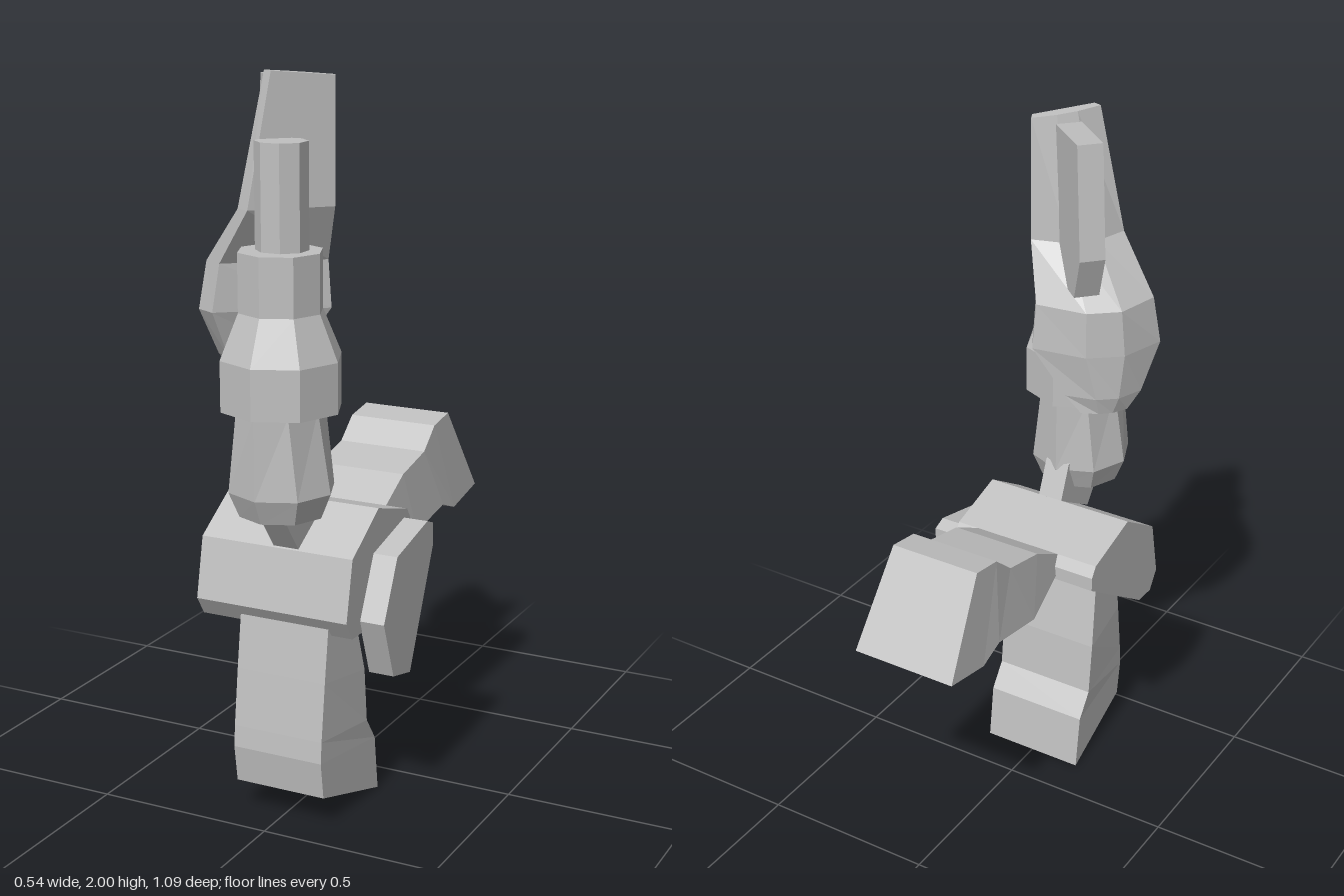
import * as THREE from 'three';

const grey = new THREE.MeshStandardMaterial({ color: 0xc0c0c0 });
grey.name = 'plain grey';

// Flat-faced solid through a list of rings of equal length, capped at both ends
function loft(name, rings) {
  const n = rings[0].length, tris = [];
  const tri = (a, b, c) => tris.push([a, b, c]);
  for (let i = 0; i < rings.length - 1; i++) {
    for (let j = 0; j < n; j++) {
      const k = (j + 1) % n, a = rings[i], b = rings[i + 1];
      tri(a[j], a[k], b[k]);
      tri(a[j], b[k], b[j]);
    }
  }
  const first = rings[0], last = rings[rings.length - 1];
  for (let j = 1; j < n - 1; j++) {
    tri(first[0], first[j + 1], first[j]);
    tri(last[0], last[j], last[j + 1]);
  }
  // A negative volume means the faces point inwards
  const v = (p) => new THREE.Vector3(...p);
  const volume = tris.reduce((s, [a, b, c]) => s + v(a).dot(v(b).cross(v(c))), 0);
  const pos = tris.flatMap(([a, b, c]) => (volume < 0 ? [a, c, b] : [a, b, c])).flat();
  const geo = new THREE.BufferGeometry();
  geo.setAttribute('position', new THREE.Float32BufferAttribute(pos, 3));
  geo.computeVertexNormals();
  const mesh = new THREE.Mesh(geo, grey);
  mesh.name = name;
  return mesh;
}

// Side profile of [z, y] points, extended from x0 to x1
const slab = (name, x0, x1, profile) =>
  loft(name, [x0, x1].map((x) => profile.map(([z, y]) => [x, y, z])));

// Leg with a narrow outer side and a wider inner side
const leg = (name, narrow, wide) =>
  loft(name, narrow.map(([z, y], i) => {
    const [wz, wy] = wide[i], w = i === 0 ? 0.137 : 0.153;
    return [[-0.132, y, z], [0.132, y, z], [w, wy, wz], [-w, wy, wz]];
  }));

// Eight-sided column from [y, radiusX, radiusZ] levels
const column = (name, cz, turn, levels) =>
  loft(name, levels.map(([y, rx, rz]) => Array.from({ length: 8 }, (_, i) => {
    const a = (i / 8) * Math.PI * 2 + turn;
    return [rx * Math.sin(a), y, cz + rz * Math.cos(a)];
  })));

// Frame of the back shield: t runs across it, r points outwards
const place = (t, r, y) => [0.68 * t - 0.73 * r, y, -0.73 * t - 0.68 * r];

export function createModel() {
  const model = new THREE.Group();
  model.name = 'jointedFigure';

  // Legs
  model.add(leg('frontLeg',
    [[0.37, 0.62], [0.40, 0.41], [0.42, 0.25], [0.425, 0.19], [0.41, 0.085]],
    [[0.25, 0.60], [0.205, 0.385], [0.19, 0.23], [0.14, 0.16], [0.12, 0]]));
  model.add(leg('rearLeg',
    [[0.03, 0.80], [-0.08, 0.86], [-0.22, 0.89], [-0.29, 0.95], [-0.385, 0.965]],
    [[0.03, 0.75], [-0.13, 0.68], [-0.31, 0.71], [-0.39, 0.68], [-0.545, 0.71]]));

  // Hip block, its side plate and the neck above it
  model.add(slab('hipBlock', -0.255, 0.196,
    [[0.365, 0.755], [0.21, 0.852], [0.03, 0.80], [0.01, 0.77], [0.01, 0.73],
      [0.30, 0.535], [0.365, 0.535], [0.40, 0.588]]));
  model.add(slab('sidePlate', 0.194, 0.266,
    [[0.32, 0.57], [0.24, 0.735], [0.05, 0.78], [0.012, 0.765], [0.012, 0.70],
      [0.155, 0.38], [0.26, 0.405]]));
  model.add(slab('waistJoint', -0.037, 0.037,
    [[0.44, 0.86], [0.365, 0.76], [0.21, 0.85], [0.25, 0.95], [0.35, 0.98]]));

  // Torso stack
  model.add(column('lowerTorso', 0.385, 0,
    [[0.845, 0.04, 0.04], [0.862, 0.115, 0.115], [0.93, 0.143, 0.145], [1.15, 0.107, 0.145]]));
  model.add(column('upperTorso', 0.382, 0,
    [[1.145, 0.163, 0.163], [1.28, 0.163, 0.163], [1.40, 0.113, 0.113], [1.555, 0.113, 0.113]]));
  model.add(column('topPost', 0.372, Math.PI / 8,
    [[1.54, 0.07, 0.066], [1.83, 0.07, 0.066]]));

  // Back shield: [y, left t, right t, left r, right r, bulge, thickness]
  const sections = [
    [1.19, -0.33, -0.20, 0.0, -0.01, 0.015, 0.03],
    [1.24, -0.37, -0.16, -0.005, -0.03, 0.04, 0.05],
    [1.37, -0.43, -0.08, -0.03, -0.08, 0.08, 0.06],
    [1.50, -0.41, -0.09, -0.04, -0.08, 0.08, 0.06],
    [1.65, -0.36, -0.10, -0.16, -0.17, 0.05, 0.04],
    [1.99, -0.295, -0.105, -0.19, -0.19, 0.012, 0.025],
  ];
  model.add(loft('backShield', sections.map(([y, t0, t1, r0, r1, bulge, thick]) => {
    const at = (f, dr) =>
      place(t0 + (t1 - t0) * f, r0 + (r1 - r0) * f + dr, y === 1.99 ? 2 - 0.017 * f : y);
    return [at(0, 0), at(0.35, bulge), at(0.65, bulge), at(1, 0),
      at(0.95, -thick), at(0.05, -thick)];
  })));

  // Fin standing out from the shield
  const fin = [[-0.19, 1.965], [0.015, 1.975], [0.055, 1.67], [0.01, 1.55], [-0.14, 1.55]];
  model.add(loft('shieldFin', [-0.238, -0.168].map((t) => fin.map(([r, y]) => place(t, r, y)))));

  // Strut joining shield and torso
  const strut = [[-0.06, 1.32], [-0.06, 1.44], [-0.24, 1.44], [-0.24, 1.32]];
  model.add(loft('shieldStrut', [-0.28, -0.22].map((t) => strut.map(([r, y]) => place(t, r, y)))));

  return model;
}
